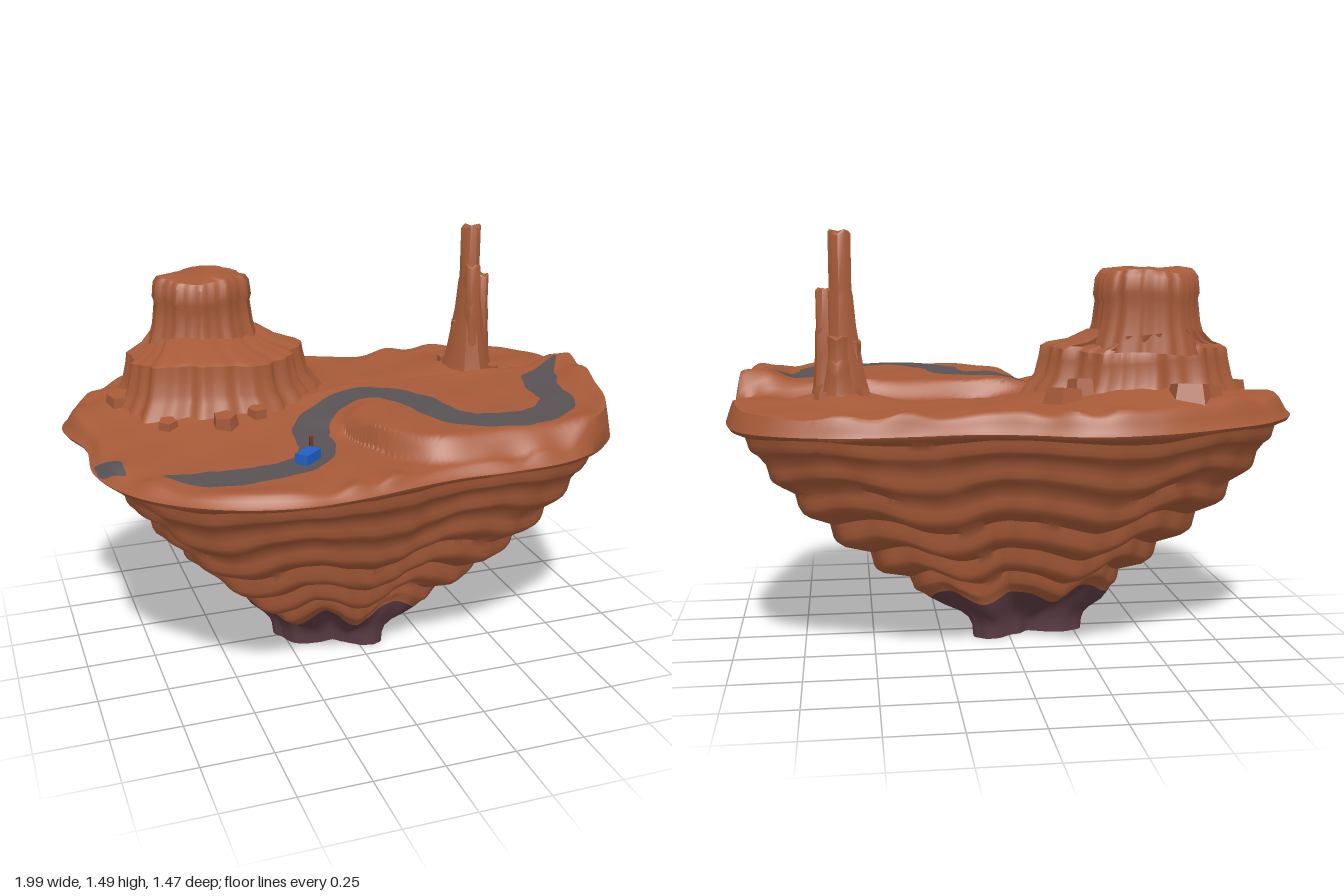
import * as THREE from 'three';
import { toCreasedNormals } from 'three/addons/utils/BufferGeometryUtils.js';

const { smoothstep, lerp, clamp, degToRad } = THREE.MathUtils;
const TAU = Math.PI * 2;

// Rim radius of the island every 15 degrees, counter-clockwise from +x seen from above
const RIM = [0.97, 1.028, 1.045, 0.92, 0.75, 0.655, 0.67, 0.76, 0.825, 0.89, 0.985, 1.03,
  0.945, 0.985, 0.98, 0.92, 0.84, 0.75, 0.69, 0.69, 0.77, 0.89, 0.96, 0.945];

function rimRadius(a) {
  const f = (((a / TAU) % 1) + 1) % 1 * 24, i = Math.floor(f), t = f - i;
  const p = (k) => RIM[(i + k + 24) % 24];
  const m0 = (p(1) - p(-1)) / 2, m1 = (p(2) - p(0)) / 2, t2 = t * t, t3 = t2 * t;
  return p(0) * (2 * t3 - 3 * t2 + 1) + m0 * (t3 - 2 * t2 + t) + p(1) * (3 * t2 - 2 * t3) + m1 * (t3 - t2);
}

// Height of the desert floor, including the raised shelf on the front right
function ground(x, z) {
  const a = Math.atan2(-z, x), t = Math.hypot(x, z) / rimRadius(a);
  const soft = 0.1 * (1 - smoothstep(z, 0.1, 0.22));
  const shelfEdge = 0.585 - 0.35 * clamp((0.25 - x) / 0.33, 0, 1) ** 3;
  const shelf = smoothstep(z, -0.13 + 0.02 * Math.sin(x * 14), -0.06)
    * smoothstep(x, -0.14 - soft, -0.01 + soft) * smoothstep(shelfEdge - z, -0.05, 0.04);
  const bump = (cx, cz, r) => Math.exp(-((x - cx) ** 2 + (z - cz) ** 2) / (r * r));
  let h = 0.878 + 0.078 * shelf + 0.09 * bump(-0.43, -0.25, 0.34) + 0.05 * bump(0.6, -0.25, 0.15);
  h += 0.04 * smoothstep(x, 0.76, 0.88) * smoothstep(z, -0.45, 0.02);
  h += 0.03 * smoothstep(-z, 0, 0.3);
  h += 0.004 * Math.sin(x * 17 + z * 9) * Math.sin(z * 15 - x * 5);
  h += 0.008 * smoothstep(t, 0.84, 0.95) * Math.sin(a * 19 + Math.sin(a * 7) * 2);
  const start = lerp(0.93, 0.965, smoothstep(x, 0.2, 0.8));
  return lerp(h, 0.845, smoothstep(t, start, 1) ** 2);
}

// Joins closed loops of points, bottom to top, into a surface
function skin(rows, crease = 0.6) {
  const n = rows[0].length, pos = rows.flat(2), index = [];
  for (let i = 0; i < rows.length - 1; i++) {
    for (let j = 0; j < n; j++) {
      const a = i * n + j, b = i * n + (j + 1) % n;
      index.push(a, b, b + n, a, b + n, a + n);
    }
  }
  const g = new THREE.BufferGeometry();
  g.setAttribute('position', new THREE.Float32BufferAttribute(pos, 3));
  g.setIndex(index);
  return toCreasedNormals(g, crease);
}

const loop = (n, f) => Array.from({ length: n }, (_, j) => f(j / n * TAU));

// One horizontal band of the underside, at scale s of the rim
function band(y, s) {
  return loop(240, (a) => {
    const gap = (deg, w) => {
      const d = Math.atan2(Math.sin(a - degToRad(deg)), Math.cos(a - degToRad(deg)));
      return Math.exp(-((d / w) ** 2));
    };
    const low = 1 - smoothstep(y, 0.02, 0.24), deep = 1 - s;
    const lobes = 1 - 0.38 * low * Math.cos(3 * a + 0.25) + 0.06 * low * Math.sin(5 * a + 1);
    const ripple = 1 + Math.min(1, deep * 8) * (0.012 * Math.sin(13 * a + s * 3) + 0.007 * Math.sin(29 * a + s * 9));
    const valley = 1 - deep * (0.22 * gap(76, 0.25) + 0.1 * gap(277, 0.22));
    const r = rimRadius(a) * s * lobes * ripple * valley;
    const wave = -0.022 * Math.cos(7 * (a - degToRad(270))) + 0.008 * Math.sin(11 * a) - 0.07 * deep * gap(268, 0.25);
    const dy = wave * Math.min(1, deep * 6) * smoothstep(y, 0, 0.2);
    return [Math.cos(a) * r - 0.06 * deep * deep, y + dy, -Math.sin(a) * r + 0.03 * deep * deep];
  });
}

// Fluted rock column; each row is [y, rx, rz, cx, cz]
function rockColumn(rows, flute, seed, n = 96) {
  const rings = rows.map(([y, rx, rz, cx, cz]) => loop(n, (a) => {
    const k = 1 + flute * (Math.sin(5 * a + seed) * 0.5 + Math.sin(11 * a + seed * 2) * 0.5
      + Math.sin(23 * a + seed) * 0.35);
    return [cx + Math.cos(a) * rx * k, y + 0.008 * Math.sin(3 * a + seed), cz - Math.sin(a) * rz * k];
  }));
  const [y, , , cx, cz] = rows[rows.length - 1];
  rings.push(loop(n, () => [cx, y, cz]));
  return skin(rings, 0.7);
}

// Strip draped over the ground, narrowing at both ends
function drapedStrip(points, halfWidth, taper, steps = 160) {
  const curve = new THREE.CatmullRomCurve3(points.map(([x, z]) => new THREE.Vector3(x, 0, z)));
  const pos = [], index = [], m = 9;
  for (let i = 0; i <= steps; i++) {
    const u = i / steps, p = curve.getPointAt(u), d = curve.getTangentAt(u);
    const w = halfWidth * Math.min(1, 0.1 + Math.min(u, 1 - u) / taper) * (1 + 0.04 * Math.sin(i * 0.9));
    for (let j = 0; j < m; j++) {
      const o = (j / (m - 1) * 2 - 1) * w, x = p.x - d.z * o, z = p.z + d.x * o;
      pos.push(x, ground(x, z) + 0.007, z);
      if (i < steps && j < m - 1) {
        const a = i * m + j;
        index.push(a, a + 1, a + m + 1, a, a + m + 1, a + m);
      }
    }
  }
  const g = new THREE.BufferGeometry();
  g.setAttribute('position', new THREE.Float32BufferAttribute(pos, 3));
  g.setIndex(index);
  g.computeVertexNormals();
  return g;
}

export function createModel() {
  const group = new THREE.Group();
  const material = (name, color, side = THREE.FrontSide) => {
    const m = new THREE.MeshStandardMaterial({ color, side });
    m.name = name;
    return m;
  };
  const rock = material('red rock', 0xa65a38);
  const plum = material('plum stone', 0x5c3c45);
  const asphalt = material('asphalt', 0x585254, THREE.DoubleSide);
  const blue = material('blue paint', 0x2060c8);
  const wood = material('dark wood', 0x6b3a26);
  const add = (name, geometry, mat) => {
    const mesh = new THREE.Mesh(geometry, mat);
    mesh.name = name;
    group.add(mesh);
    return mesh;
  };

  // Plum foot of the island
  const foot = [[0, 0], [0, 0.178], [0.04, 0.182], [0.07, 0.195], [0.1, 0.225], [0.14, 0.285], [0.18, 0.335]];
  add('stoneFoot', skin(foot.map(([y, s]) => band(y, s)), 0.9), plum);

  // Stepped strata, then the ground surface from the rim inwards
  const rows = [band(0.18, 0.335)];
  const layers = [[0.2, 0.385], [0.295, 0.52], [0.41, 0.655], [0.53, 0.77], [0.65, 0.862], [0.755, 0.93]];
  layers.forEach(([y, s], i) => {
    const height = (i < layers.length - 1 ? layers[i + 1][0] : 0.84) - y;
    for (const [f, ds] of [[0, -0.03], [0.14, -0.008], [0.26, 0], [0.5, 0.006], [0.72, 0.012]]) {
      rows.push(band(y + height * f, s + ds));
    }
  });
  rows.push(band(0.832, 0.99));
  for (let i = 0; i <= 80; i++) {
    const t = 1 - i / 80;
    rows.push(loop(240, (a) => {
      const r = rimRadius(a) * t, x = Math.cos(a) * r, z = -Math.sin(a) * r;
      return [x, ground(x, z), z];
    }));
  }
  add('islandRock', skin(rows, 0.75), rock);

  // Butte: wide fluted skirt and a taller cap
  add('butteSkirt', rockColumn([
    [0.88, 0.4, 0.29, -0.42, -0.23], [0.96, 0.35, 0.252, -0.42, -0.235], [0.99, 0.332, 0.24, -0.425, -0.235],
    [1.05, 0.318, 0.23, -0.425, -0.237], [1.088, 0.312, 0.227, -0.425, -0.238], [1.1, 0.292, 0.212, -0.425, -0.243],
    [1.115, 0.24, 0.18, -0.435, -0.28], [1.15, 0.19, 0.15, -0.445, -0.32],
  ], 0.065, 1.3, 144), rock);
  add('butteCap', rockColumn([
    [1.08, 0.215, 0.165, -0.445, -0.32], [1.13, 0.2, 0.155, -0.445, -0.32], [1.18, 0.184, 0.142, -0.445, -0.325],
    [1.26, 0.174, 0.138, -0.445, -0.325], [1.28, 0.18, 0.142, -0.445, -0.325], [1.335, 0.174, 0.136, -0.445, -0.325],
    [1.355, 0.16, 0.122, -0.445, -0.325], [1.362, 0.1, 0.09, -0.46, -0.33],
  ], 0.055, 4.1), rock);

  // Spire with a main column and lower shoulders: [x, z, base radius, top radius, top height]
  const spires = [[0.598, -0.24, 0.09, 0.037, 1.497], [0.655, -0.25, 0.048, 0.028, 1.3],
    [0.595, -0.212, 0.055, 0.03, 1.35], [0.61, -0.295, 0.06, 0.032, 1.14], [0.56, -0.255, 0.05, 0.028, 1.12]];
  spires.forEach(([x, z, r0, r1, top], i) => {
    const at = (f, r) => [lerp(0.9, top, f), r, r, x, z];
    add('spireColumn', rockColumn([at(0, r0 * 1.15), at(0.18, r0 * 0.85), at(0.45, lerp(r0, r1, 0.75)),
      at(0.62, r1 * 1.12), at(0.66, r1), at(0.97, r1), at(0.985, r1 * 0.85)], 0.06, i * 2 + 1, 9), rock);
  });

  // Fallen blocks: [x, z, radius, height, turn]
  const blocks = [[-0.55, -0.53, 0.09, 0.05, 0.5], [-0.63, -0.5, 0.05, 0.04, 0.9], [-0.13, -0.49, 0.08, 0.05, 0.2],
    [-0.2, -0.44, 0.06, 0.06, 0.7], [-0.78, -0.23, 0.065, 0.04, 0.3], [-0.47, 0.09, 0.055, 0.05, 0.1],
    [-0.66, 0.02, 0.045, 0.035, 0.6], [-0.34, 0.04, 0.045, 0.04, 0.4], [0.53, -0.32, 0.03, 0.03, 0.2],
    [0.67, -0.34, 0.03, 0.03, 0.8], [0.68, -0.18, 0.03, 0.03, 0.5]];
  for (const [x, z, r, h, turn] of blocks) {
    const block = add('fallenBlock', new THREE.CylinderGeometry(r * 0.75, r * 1.1, h + 0.08, 5).toNonIndexed(), rock);
    block.geometry.computeVertexNormals();
    block.position.set(x, ground(x, z) + h / 2 - 0.05, z);
    block.rotation.set(0.08, turn * 2, 0.06);
  }

  // Winding road and a short stretch at the left rim
  add('windingRoad', drapedStrip([[-0.76, 0.44], [-0.66, 0.49], [-0.52, 0.515], [-0.38, 0.5], [-0.27, 0.44],
    [-0.215, 0.34], [-0.2, 0.22], [-0.14, 0.11], [-0.02, 0.055], [0.12, 0.085], [0.2, 0.18], [0.23, 0.32],
    [0.3, 0.44], [0.43, 0.49], [0.58, 0.46], [0.68, 0.36], [0.705, 0.2], [0.76, 0.07], [0.87, -0.02]],
  0.064, 0.07), asphalt);
  add('rimRoad', drapedStrip([[-0.945, 0.2], [-0.902, 0.29], [-0.87, 0.365]], 0.038, 0.5, 24), asphalt);

  // Small blue vehicle and roadside post
  const vehicle = add('vehicle', new THREE.BoxGeometry(0.085, 0.036, 0.048), blue);
  vehicle.position.set(-0.28, ground(-0.28, 0.445) + 0.024, 0.445);
  vehicle.rotation.y = 0.72;
  const post = add('roadsidePost', new THREE.BoxGeometry(0.012, 0.045, 0.012), wood);
  post.position.set(-0.235, ground(-0.235, 0.335) + 0.022, 0.335);

  return group;
}
